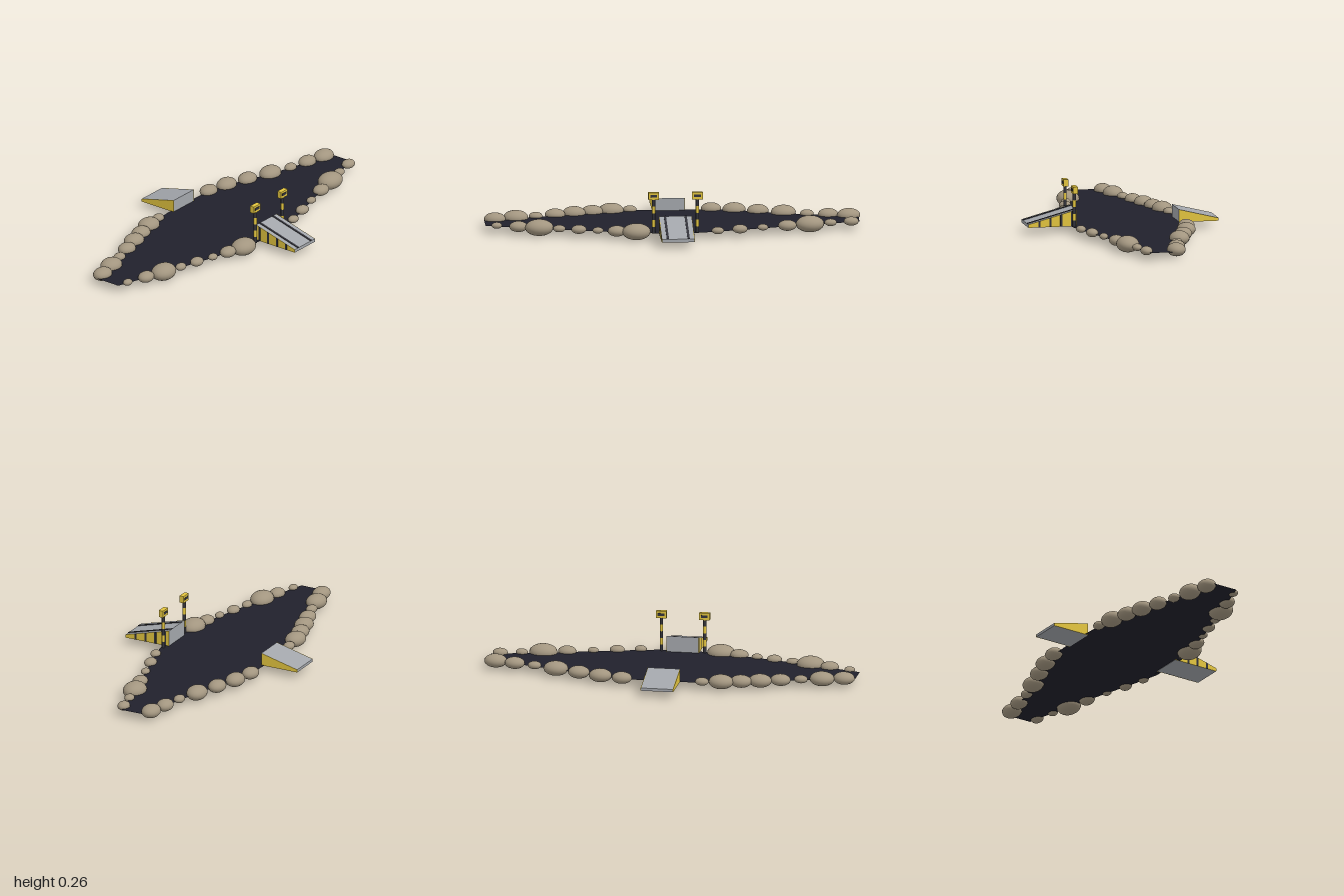
import * as THREE from 'three';

const mat = (color, extra = {}) => new THREE.MeshStandardMaterial({ color, ...extra });

export function createModel() {
  const root = new THREE.Group();
  const yellow = mat(0xe3c53f), dark = mat(0x33333a), grey = mat(0xa3a6ab);
  const stone = mat(0xa39680), pitch = mat(0x21212c, { side: THREE.DoubleSide });
  const BASE = 0.038;

  const add = (parent, name, geometry, material, x = 0, y = 0, z = 0) => {
    const mesh = new THREE.Mesh(geometry, material);
    mesh.name = name;
    mesh.position.set(x, y, z);
    parent.add(mesh);
    return mesh;
  };

  // Flat dark sheet: outline as [x, z]
  const outline = [
    [-0.09, -0.99], [0.05, -0.99], [0.09, -0.83], [0.151, -0.6], [0.19, -0.468], [0.226, -0.345],
    [0.26, -0.225], [0.283, -0.13], [0.283, 0.1], [0.264, 0.206], [0.216, 0.407], [0.159, 0.608],
    [0.092, 0.82], [0.038, 0.99], [-0.1, 0.99], [-0.143, 0.82], [-0.204, 0.608], [-0.268, 0.407],
    [-0.312, 0.205], [-0.318, 0.1], [-0.318, -0.1], [-0.312, -0.225], [-0.288, -0.345],
    [-0.24, -0.468], [-0.19, -0.6], [-0.124, -0.833],
  ];
  const sheet = new THREE.Shape(outline.map(([x, z]) => new THREE.Vector2(x, -z)));
  add(root, 'pitSurface', new THREE.ShapeGeometry(sheet).rotateX(-Math.PI / 2), pitch, 0, 0.04, 0);

  // Border stones: [x, z, radius], one row per side
  const leftStones = [
    [0.064, -0.944, 0.032], [0.09, -0.833, 0.026], [0.117, -0.722, 0.06], [0.151, -0.6, 0.039],
    [0.19, -0.468, 0.023], [0.226, -0.345, 0.032], [0.26, -0.225, 0.026], [0.264, 0.206, 0.06],
    [0.24, 0.308, 0.039], [0.216, 0.407, 0.023], [0.186, 0.506, 0.032], [0.159, 0.608, 0.026],
    [0.125, 0.712, 0.06], [0.092, 0.82, 0.039], [0.057, 0.933, 0.023],
  ];
  const rightStones = [
    [-0.098, -0.94, 0.049], [-0.124, -0.833, 0.043], [-0.15, -0.722, 0.029], [-0.19, -0.6, 0.053],
    [-0.24, -0.468, 0.046], [-0.283, -0.345, 0.049], [-0.31, -0.225, 0.043], [-0.31, 0.205, 0.029],
    [-0.295, 0.305, 0.053], [-0.268, 0.407, 0.046], [-0.238, 0.505, 0.049], [-0.204, 0.608, 0.043],
    [-0.172, 0.712, 0.029], [-0.143, 0.82, 0.053], [-0.112, 0.933, 0.046],
  ];
  const ball = new THREE.SphereGeometry(1, 20, 14);
  const stones = new THREE.Group();
  stones.name = 'borderStones';
  root.add(stones);
  for (const [x, z, r] of [...leftStones, ...rightStones]) {
    add(stones, 'stone', ball, stone, x, 0.046, z).scale.set(r, r * 0.73, r * 1.25);
  }

  // Sloped piece between xa and xb, centred on z
  const slab = (parent, name, material, xa, xb, z, depth, top, bottom) => {
    const shape = new THREE.Shape([
      new THREE.Vector2(xa, bottom(xa)), new THREE.Vector2(xb, bottom(xb)),
      new THREE.Vector2(xb, top(xb)), new THREE.Vector2(xa, top(xa)),
    ]);
    const geometry = new THREE.ExtrudeGeometry(shape, { depth, bevelEnabled: false });
    return add(parent, name, geometry.translate(0, 0, -depth / 2), material, 0, 0, z);
  };
  const floor = () => BASE;

  // Ramp: grey wedge with yellow side panels
  const ramp = (name, inner, outer, high, low) => {
    const group = new THREE.Group();
    group.name = name;
    root.add(group);
    const top = (x) => high + ((low - high) * (x - inner)) / (outer - inner);
    slab(group, 'wedge', grey, inner, outer, 0, 0.17, top, floor);
    for (const s of [-1, 1]) {
      slab(group, 'sidePanel', yellow, inner, outer, s * 0.0855, 0.003, top, floor);
    }
    return { group, top };
  };
  ramp('landingRamp', -0.3, -0.515, 0.106, 0.053);
  const { group: jump, top } = ramp('launchRamp', 0.254, 0.514, 0.125, 0.055);

  // Launch ramp: hazard stripes on the sides and two wheel tracks on top
  for (const s of [-1, 1]) {
    for (const x of [0.277, 0.336, 0.395, 0.455]) {
      slab(jump, 'hazardStripe', dark, x - 0.006, x + 0.006, s * 0.0865, 0.003, top, floor);
    }
    slab(jump, 'wheelTrack', dark, 0.254, 0.514, s * 0.055, 0.012,
      (x) => top(x) + 0.003, (x) => top(x) - 0.002);
  }

  // Striped signal posts beside the launch ramp
  const band = 0.0364;
  for (const s of [-1, 1]) {
    const post = new THREE.Group();
    post.name = 'signalPost';
    post.position.set(0.272, 0, s * 0.116);
    root.add(post);
    for (let i = 0; i < 5; i++) {
      add(post, 'postBand', new THREE.CylinderGeometry(0.009, 0.009, band, 12),
        i % 2 ? yellow : dark, 0, BASE + band * (i + 0.5), 0);
    }
    add(post, 'lampHousing', new THREE.BoxGeometry(0.025, 0.038, 0.056), yellow, 0, 0.239, 0);
    add(post, 'lamp', new THREE.BoxGeometry(0.029, 0.014, 0.036), dark, 0, 0.24, 0);
  }
  return root;
}
